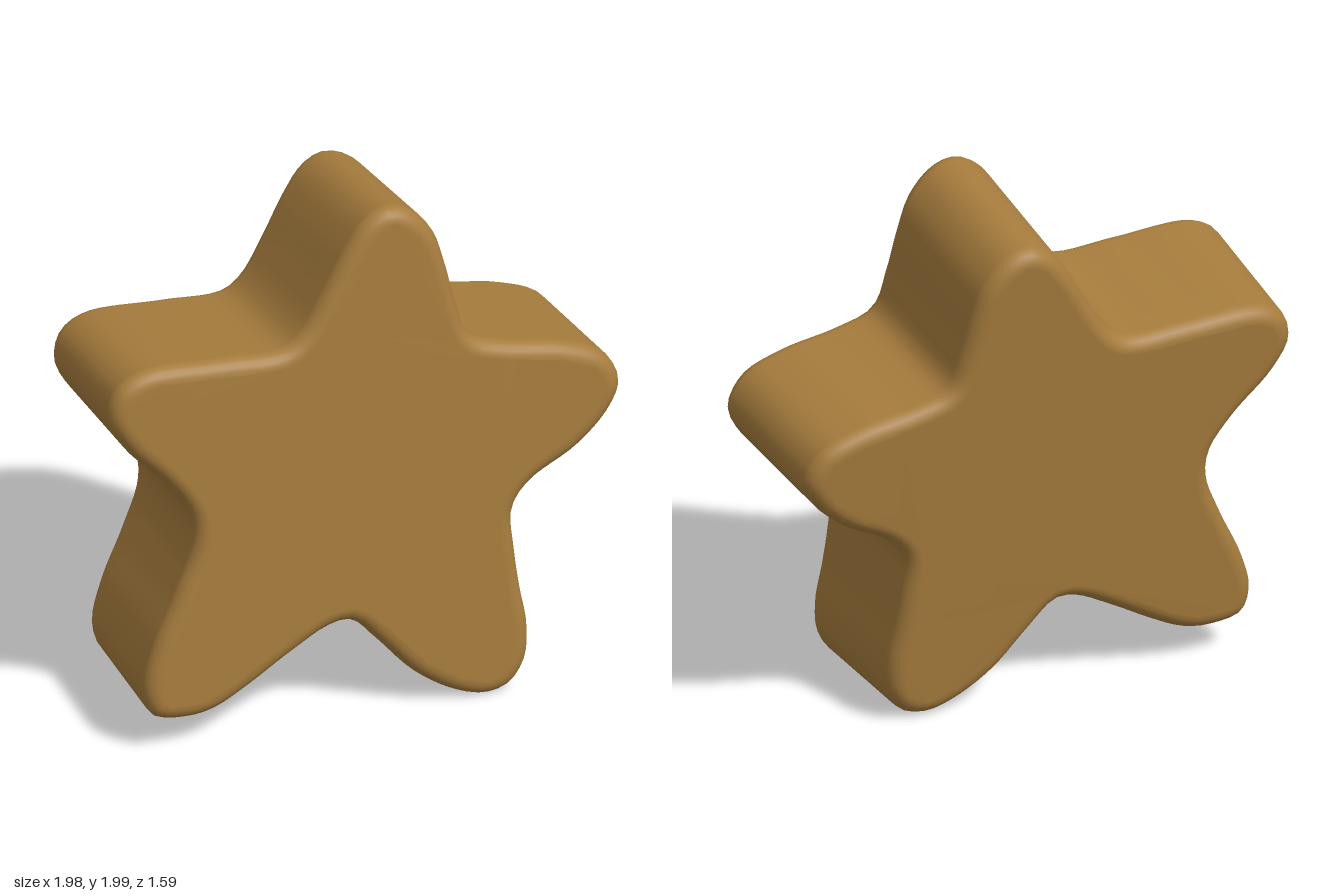
import * as THREE from 'three';
import { mergeVertices } from 'three/addons/utils/BufferGeometryUtils.js';

const YAW = 0.581, TILT = 0.07, HALF = 0.342, BEVEL = 0.06;

// Outline of the front face as seen straight on along z, clockwise from the top tip
const OUTLINE = [
  [0.23, 2.0], [0.31, 1.97], [0.385, 1.87], [0.425, 1.74], [0.465, 1.57], [0.51, 1.435],
  [0.62, 1.385], [0.81, 1.34], [0.945, 1.27], [1.0, 1.15], [0.965, 1.04], [0.865, 0.92],
  [0.71, 0.81], [0.66, 0.72], [0.67, 0.55], [0.69, 0.4], [0.715, 0.25], [0.71, 0.12],
  [0.66, 0.03], [0.58, 0.005], [0.48, 0.04], [0.35, 0.14], [0.23, 0.29], [0.14, 0.39],
  [0.07, 0.385], [-0.05, 0.31], [-0.2, 0.2], [-0.3, 0.14], [-0.39, 0.125], [-0.5, 0.155],
  [-0.53, 0.26], [-0.5, 0.42], [-0.43, 0.62], [-0.38, 0.8], [-0.39, 0.92], [-0.47, 1.06],
  [-0.6, 1.22], [-0.66, 1.35], [-0.64, 1.46], [-0.56, 1.52], [-0.3, 1.515], [-0.1, 1.51],
  [-0.04, 1.56], [0.03, 1.7], [0.1, 1.86], [0.16, 1.96],
];

export function createModel() {
  const group = new THREE.Group();
  group.name = 'starBlock';
  const s = Math.sin(TILT), c = Math.cos(TILT), w = 0.31;

  // Project the outline into the plane of the turned, tilted face
  const pts = OUTLINE.map(([x, y]) => {
    const v = (y - 1 - s * w) / c;
    const u = (x - Math.sin(YAW) * (c * w - s * v)) / Math.cos(YAW);
    return new THREE.Vector3(u, v, 0);
  });
  const loop = new THREE.CatmullRomCurve3(pts, true, 'centripetal').getSpacedPoints(180);
  loop.pop();

  const raw = new THREE.ExtrudeGeometry(new THREE.Shape(loop.map(p => new THREE.Vector2(p.x, p.y))), {
    depth: 2 * (HALF - BEVEL), steps: 4,
    bevelEnabled: true, bevelThickness: BEVEL, bevelSize: BEVEL, bevelOffset: -BEVEL, bevelSegments: 6,
  });
  raw.translate(0, 0, BEVEL - HALF);

  // Slight taper towards the back, with the back face leaning outwards at the top
  const pos = raw.attributes.position;
  for (let i = 0; i < pos.count; i++) {
    const t = (HALF - pos.getZ(i)) / (2 * HALF), v = pos.getY(i);
    pos.setX(i, pos.getX(i) * (1 - 0.025 * t));
    pos.setY(i, v * (1 - 0.05 * t));
    pos.setZ(i, pos.getZ(i) - 0.04 * t * v);
  }

  // Weld for smooth, soft edges
  raw.deleteAttribute('uv');
  raw.deleteAttribute('normal');
  const geo = mergeVertices(raw, 1e-4);
  geo.applyMatrix4(new THREE.Matrix4().makeRotationFromEuler(new THREE.Euler(-TILT, YAW, 0, 'YXZ')));
  geo.center();
  geo.computeBoundingBox();
  geo.translate(0, -geo.boundingBox.min.y, 0);
  geo.computeVertexNormals();

  const material = new THREE.MeshStandardMaterial({ color: 0xa67c3d });
  material.name = 'golden brown';
  const star = new THREE.Mesh(geo, material);
  star.name = 'star';
  group.add(star);
  return group;
}
